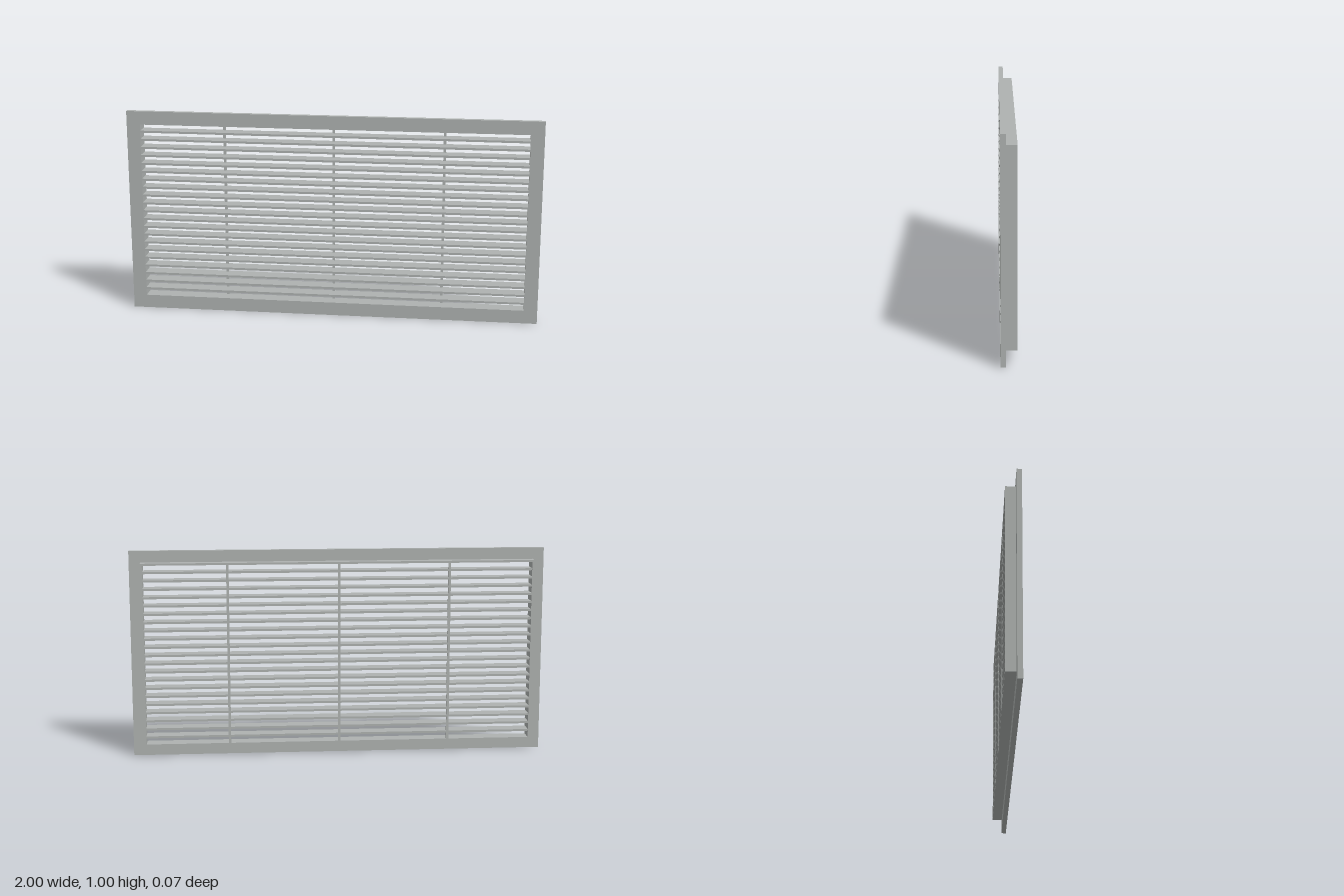
import * as THREE from 'three';

export function createModel() {
  const group = new THREE.Group();
  const metal = new THREE.MeshStandardMaterial({ color: 0xaeb2b0 });
  metal.name = 'greyMetal';

  const cy = 0.5, openW = 1.87, openH = 0.87;
  const zBack = -0.036, zFlange = 0.012, zFront = 0.036;

  // Rectangular ring between two depths, with a rectangular hole
  function ring(name, w, h, holeW, holeH, z0, z1) {
    const corners = (a, b) => [[-a, -b], [a, -b], [a, b], [-a, b]]
      .map(([x, y]) => new THREE.Vector2(x / 2, y / 2));
    const shape = new THREE.Shape(corners(w, h));
    shape.holes.push(new THREE.Path(corners(holeW, holeH).reverse()));
    const geo = new THREE.ExtrudeGeometry(shape, { depth: z1 - z0, bevelEnabled: false });
    const mesh = new THREE.Mesh(geo, metal);
    mesh.name = name;
    mesh.position.set(0, cy, z0);
    group.add(mesh);
  }

  function box(name, w, h, x, y, z0, z1) {
    const mesh = new THREE.Mesh(new THREE.BoxGeometry(w, h, z1 - z0), metal);
    mesh.name = name;
    mesh.position.set(x, y, (z0 + z1) / 2);
    group.add(mesh);
  }

  // Front flange and the sleeve behind it
  ring('frontFrame', 2, 1, openW, openH, zFlange, zFront);
  ring('rearSleeve', 1.89, 0.89, openW, openH, zBack, zFlange);

  // Horizontal slats, evenly spaced
  const slots = 22, slatH = 0.01;
  const gap = (openH - (slots - 1) * slatH) / slots;
  const bottom = cy - openH / 2;
  for (let i = 1; i < slots; i++) {
    const y = bottom + i * (gap + slatH) - slatH / 2;
    box('slat', openW, slatH, 0, y, zBack + 0.001, zFront - 0.001);
  }

  // Upright ribs at the back of the slats
  for (const x of [-0.533, 0, 0.533]) {
    box('uprightRib', 0.012, openH, x, cy, zBack, zBack + 0.012);
  }

  return group;
}
